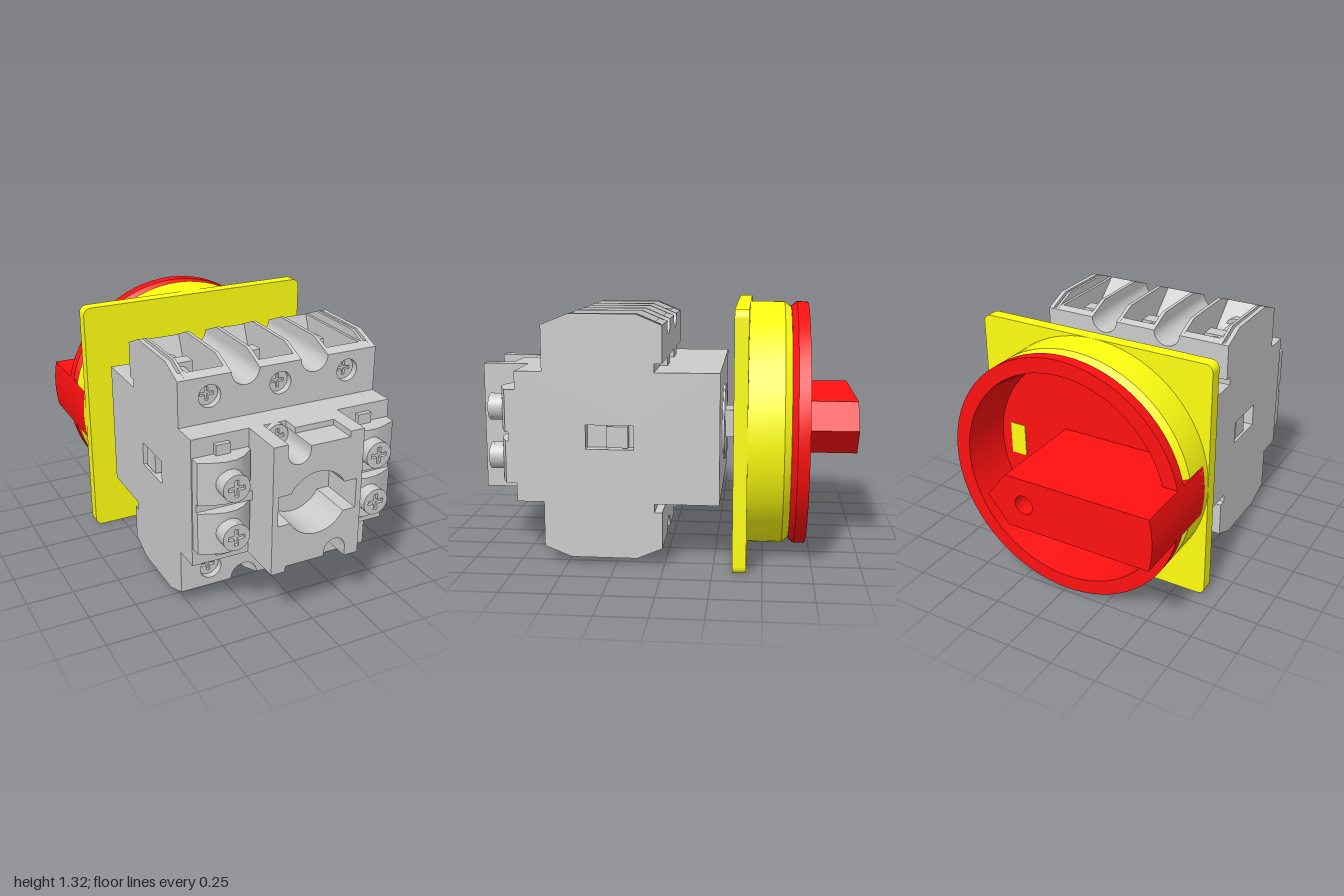
import * as THREE from 'three';
import { toCreasedNormals } from 'three/addons/utils/BufferGeometryUtils.js';

const CY = 0.6625; // height of the switch axis
const grey = new THREE.MeshStandardMaterial({ color: 0xcccccc });
const yellow = new THREE.MeshStandardMaterial({ color: 0xffff10 });
const red = new THREE.MeshStandardMaterial({ color: 0xff1010 });

function add(parent, name, geo, mat = grey) {
  const mesh = new THREE.Mesh(geo, mat);
  mesh.name = name;
  parent.add(mesh);
  return mesh;
}
const poly = (pts) => new THREE.Shape(pts.map(([x, y]) => new THREE.Vector2(x, y)));
const circle = (x, y, r) => new THREE.Path().absarc(x, y, r, 0, Math.PI * 2, true);

// Box given by its limits
function box(x0, x1, y0, y1, z0, z1) {
  return new THREE.BoxGeometry(x1 - x0, y1 - y0, z1 - z0)
    .translate((x0 + x1) / 2, (y0 + y1) / 2, (z0 + z1) / 2);
}
// Shape in the xy plane, extruded from z0 to z1
function slab(shape, z0, z1) {
  const geo = new THREE.ExtrudeGeometry(shape, { depth: z1 - z0, bevelEnabled: false, curveSegments: 20 });
  return toCreasedNormals(geo.translate(0, 0, z0), 0.5);
}
// Side profile of [z, y] points, extruded from x0 to x1
function slice(shape, x0, x1) {
  return new THREE.ExtrudeGeometry(shape, { depth: x1 - x0, bevelEnabled: false })
    .rotateY(-Math.PI / 2).translate(x1, 0, 0);
}
// Cylinder along z
function rod(x, y, r, z0, z1) {
  return new THREE.CylinderGeometry(r, r, z1 - z0, 32).rotateX(Math.PI / 2).translate(x, y, (z0 + z1) / 2);
}
// Turned part around the switch axis, from [radius, -z] points
function turned(pts) {
  const geo = new THREE.LatheGeometry(pts.map(([r, h]) => new THREE.Vector2(r, h)), 72);
  return toCreasedNormals(geo.rotateX(-Math.PI / 2).translate(0, CY, 0), 0.5);
}
// Screw with a cross recess, facing +z
function screw(parent, name, x, y, r, z0, z1) {
  const g = new THREE.Group();
  g.name = name;
  const a = r * 0.62, b = r * 0.15;
  const head = new THREE.Shape().absarc(0, 0, r, 0, Math.PI * 2, false);
  head.holes.push(poly([[a, b], [b, b], [b, a], [-b, a], [-b, b], [-a, b], [-a, -b],
    [-b, -b], [-b, -a], [b, -a], [b, -b], [a, -b]]));
  add(g, 'screwFace', slab(head, z1 - 0.018, z1).translate(x, y, 0));
  add(g, 'screwBody', rod(x, y, r, z0, z1 - 0.018));
  parent.add(g);
}

// Upper row of three poles; the lower row is the same, turned half round
function poleRow() {
  const row = new THREE.Group();
  row.name = 'poleRow';
  const poles = [-0.38, 0, 0.38];

  // front plate with scallops and screw holes
  const plate = new THREE.Shape();
  plate.moveTo(-0.545, 1);
  plate.lineTo(0.545, 1);
  plate.lineTo(0.545, 1.235);
  for (const x of [0.19, -0.19]) {
    plate.lineTo(x + 0.075, 1.235);
    plate.absarc(x, 1.235, 0.075, 0, -Math.PI, true);
  }
  plate.lineTo(-0.545, 1.235);
  for (const x of poles) plate.holes.push(circle(x, 1.135, 0.058));
  add(row, 'polePlate', slab(plate, 0.55, 0.62));

  // grooves between the poles
  for (const x of [-0.19, 0.19]) {
    const groove = new THREE.Shape();
    groove.moveTo(x - 0.075, 1);
    groove.lineTo(x + 0.075, 1);
    groove.lineTo(x + 0.075, 1.235);
    groove.absarc(x, 1.235, 0.075, 0, -Math.PI, true);
    add(row, 'groove', slab(groove, 0.01, 0.55));
  }

  // walls and terminal pockets
  const base = [[0.05, 0.99], [0.55, 0.99], [0.55, 1.234], [0.62, 1.235]];
  const back = [[0.01, 1.235], [0.01, 1.045], [0.05, 1.045]];
  const wall = poly([...base, [0.48, 1.29], [0.14, 1.29], ...back]);
  const slit = poly([...base, [0.57, 1.254], [0.56, 1.235], [0.06, 1.235], ...back]);
  const pocket = poly([[0.05, 0.99], [0.55, 0.99], [0.55, 1.234], [0.62, 1.235], [0.57, 1.2546],
    [0.44, 1.14], [0.4, 1.06], [0.13, 1.06], [0.05, 1.25], ...back]);
  const ledge = poly([...base, [0.57, 1.2546], [0.48, 1.25], [0.09, 1.25], [0.05, 1.25], ...back]);
  for (const x of poles) {
    const l = x < -0.1 ? -0.545 : x - 0.115, r = x > 0.1 ? 0.545 : x + 0.115;
    const pl = x - 0.095, pr = x + 0.095;
    add(row, 'pocket', slice(pocket, pl, pr));
    for (const s of [-1, 1]) {
      const [a, b] = s < 0 ? [l, pl] : [pr, r];
      if (b - a > 0.06) { // outer wall with a slit
        const c = s * 0.505, d = s * 0.52;
        const inner = s * 0.49;
        add(row, 'outerWall', slice(wall, Math.min(d, s * 0.545), Math.max(d, s * 0.545)));
        add(row, 'wallSlit', slice(slit, Math.min(c, d), Math.max(c, d)));
        add(row, 'slitWall', slice(wall, Math.min(c, inner), Math.max(c, inner)));
        add(row, 'pocketLedge', slice(ledge, Math.min(inner, x + s * 0.095), Math.max(inner, x + s * 0.095)));
      } else add(row, 'poleWall', slice(wall, a, b));
    }
    // inner wall of the outer poles, up to the groove
    if (x) {
      const s = Math.sign(x);
      const a = s * 0.265, b = x - s * 0.095;
      add(row, 'poleWall', slice(wall, Math.min(a, b), Math.max(a, b)));
    }
    // clamp and its screw
    screw(row, 'poleScrew', x, 1.135, 0.057, 0.46, 0.585);
    add(row, 'clampShank', rod(x, 1.135, 0.035, 0.14, 0.5));
    add(row, 'clamp', box(x - 0.065, x + 0.065, 1.06, 1.19, 0.21, 0.29));
    add(row, 'clampNose', rod(x, 1.12, 0.06, 0.13, 0.21));
  }
  return row;
}

// Pair of terminals on the +x side of the front
function terminals() {
  const g = new THREE.Group();
  g.name = 'terminalPair';
  const saddle = poly([[0.25, -0.74], [0.25, -0.79], [0.31, -0.84], [0.36, -0.86], [0.42, -0.86],
    [0.47, -0.845], [0.54, -0.815], [0.54, -0.74]]);
  for (const s of [-1, 1]) {
    const y = CY + s * 0.13;
    add(g, 'saddle', slab(saddle, -0.11, 0.11).rotateX(-Math.PI / 2)
      .translate(0, CY + s * 0.1325, 0)).geometry.computeBoundingSphere();
    screw(g, 'terminalScrew', 0.39, y, 0.07, 0.82, 0.925);
    const t = CY + s * 0.27;
    add(g, 'terminalTab', box(0.352, 0.428, t - 0.027, t + 0.027, 0.74, 0.785));
  }
  add(g, 'divider', box(0.24, 0.54, CY - 0.025, CY + 0.025, 0.74, 0.8));
  return g;
}

export function createModel() {
  const model = new THREE.Group();
  model.name = 'rotarySwitch';

  // body core with a window in each flank
  add(model, 'bodyCore', box(-0.485, 0.485, 0.325, 1, -0.28, 0.76));
  const flank = poly([[-0.28, 0.325], [0.76, 0.325], [0.76, 1], [-0.28, 1]]);
  flank.holes.push(poly([[0.155, 0.605], [0.155, 0.73], [0.4, 0.73], [0.4, 0.605]]));
  for (const s of [-1, 1]) {
    add(model, 'flank', slice(flank, s < 0 ? -0.545 : 0.485, s < 0 ? -0.485 : 0.545));
    add(model, 'flankLatch', box(s * 0.505 - 0.03, s * 0.505 + 0.03, 0.612, 0.722, 0.185, 0.295));
  }

  // pole rows above and below
  const lower = poleRow();
  lower.rotation.z = Math.PI;
  lower.position.y = CY * 2;
  model.add(poleRow(), lower);

  // front terminals on both sides
  const right = terminals();
  right.rotation.z = Math.PI;
  right.position.y = CY * 2;
  model.add(terminals(), right);

  // raised centre block with screw channels and a round socket
  const centre = new THREE.Shape();
  for (const s of [1, -1]) {
    const p = (x, y) => centre.lineTo(s * x, CY + s * y);
    if (s > 0) centre.moveTo(0.243, 0.3375 + CY); else p(0.243, 0.3375);
    p(0.166, 0.3375); p(0.166, 0.308); p(-0.047, 0.308);
    for (let i = 0; i <= 12; i++) {
      const a = -Math.PI * i / 12;
      p(-0.107 + 0.06 * Math.cos(a), 0.285 + 0.06 * Math.sin(a));
    }
    p(-0.167, 0.3375); p(-0.243, 0.3375);
  }
  const socket = new THREE.Path();
  const a = Math.asin(0.078 / 0.165);
  socket.moveTo(0.213, CY - 0.078);
  socket.lineTo(0.213, CY + 0.078);
  socket.absarc(0, CY, 0.165, a, Math.PI - a, false);
  socket.lineTo(-0.213, CY + 0.078);
  socket.lineTo(-0.213, CY - 0.078);
  socket.absarc(0, CY, 0.165, Math.PI + a, Math.PI * 2 - a, false);
  centre.holes.push(socket);
  add(model, 'centreBlock', slab(centre, 0.75, 1));
  for (const s of [-1, 1]) {
    screw(model, 'centreScrew', -s * 0.107, CY + s * 0.282, 0.058, 0.74, 0.79);
    add(model, 'channelStep', box(-s * 0.06 - 0.106, -s * 0.06 + 0.106, CY + s * 0.322 - 0.0155,
      CY + s * 0.322 + 0.0155, 0.75, 0.85)).position.x = s * 0.12;
  }

  // shaft and collar behind the body
  add(model, 'collar', rod(0, CY, 0.21, -0.29, -0.27));
  add(model, 'shaft', box(-0.083, 0.083, CY - 0.075, CY + 0.075, -0.4, -0.28));

  // yellow mounting plate and ring
  const r = 0.04, h = 0.66;
  const plate = new THREE.Shape();
  [[1, 1], [-1, 1], [-1, -1], [1, -1]].forEach(([sx, sy], i) =>
    plate.absarc(sx * (h - r), CY + sy * (h - r), r, i * Math.PI / 2, (i + 1) * Math.PI / 2, false));
  add(model, 'mountingPlate', slab(plate, -0.42, -0.35), yellow);
  add(model, 'mountingRing', turned([[0.66, 0.42], [0.66, 0.6], [0.635, 0.635], [0.6, 0.64]]), yellow);

  // red dished dial with its grip and indicator window
  add(model, 'dial', turned([[0.6, 0.636], [0.635, 0.636], [0.66, 0.665], [0.66, 0.725],
    [0.58, 0.725], [0.55, 0.47], [0, 0.47]]), red);
  const grip = new THREE.Shape();
  const e = Math.asin(0.14 / 0.66);
  grip.moveTo(0.25, CY);
  grip.lineTo(0.14, CY + 0.14);
  grip.absarc(0, CY, 0.66, Math.PI - e, Math.PI + e, false);
  grip.lineTo(0.14, CY - 0.14);
  grip.holes.push(circle(0.04, CY, 0.05));
  add(model, 'grip', slab(grip, -1, -0.46), red);
  add(model, 'indicatorWindow', box(0.4, 0.49, CY - 0.09, CY + 0.09, -0.474, -0.46), yellow);
  return model;
}
